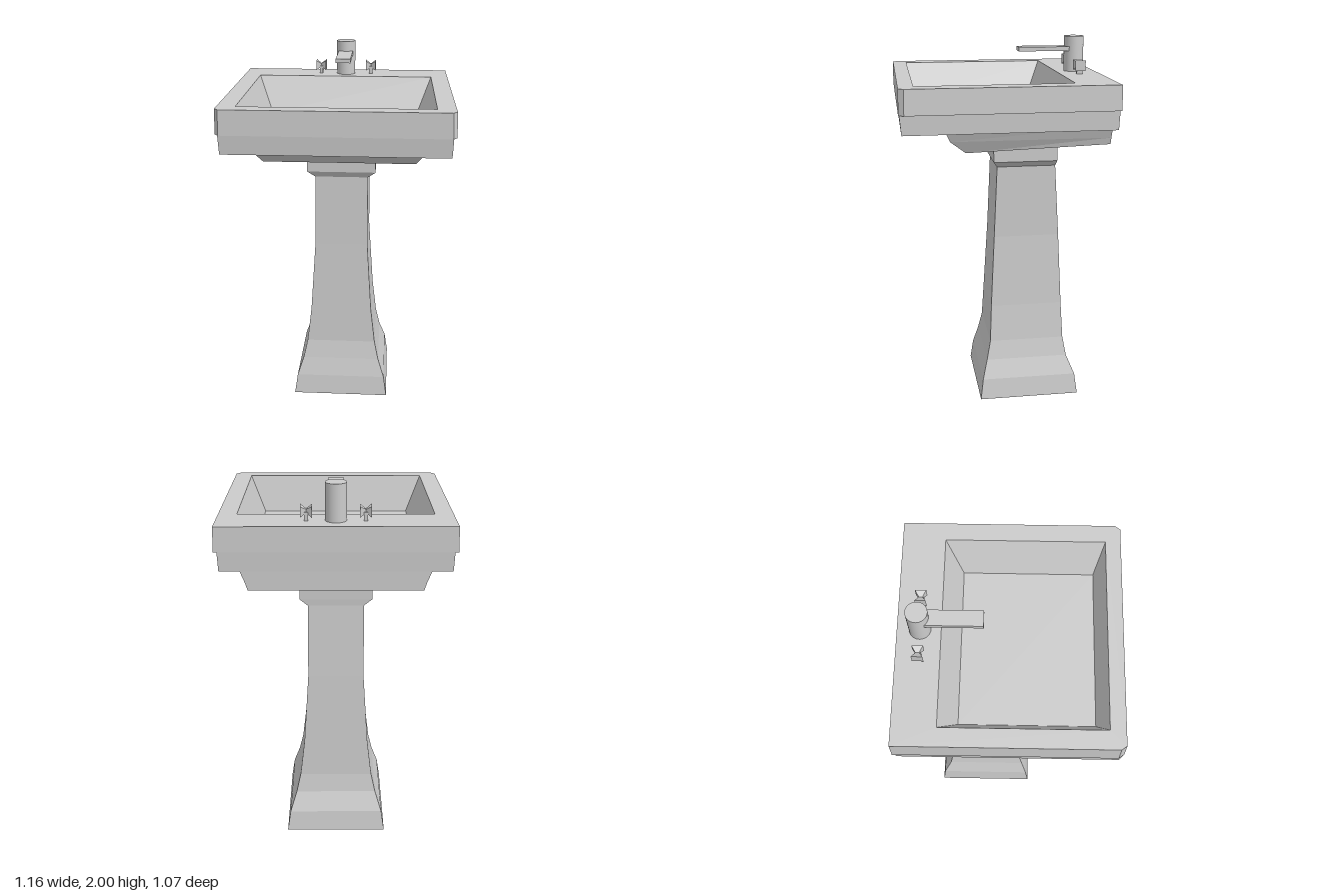
import * as THREE from 'three';

const material = new THREE.MeshStandardMaterial({ color: 0xcccccc, flatShading: true });
const smooth = new THREE.MeshStandardMaterial({ color: 0xcccccc });

// Rectangular ring, counterclockwise from above; the back edge may sit at its own height.
// Front corners are cut by (cx, cz).
function ring(y, hx, zFront, zBack, { cx = 0, cz = 0, yBack = y, hxBack = hx } = {}) {
  return [
    [hx - cx, y, zFront], [hx, y, zFront - cz], [hxBack, yBack, zBack],
    [-hxBack, yBack, zBack], [-hx, y, zFront - cz], [-hx + cx, y, zFront],
  ];
}

// Skin joining successive rings, closed at both ends.
function loft(name, rings) {
  const pos = [];
  const tri = (a, b, c) => {
    const [A, B, C] = [a, b, c].map((p) => new THREE.Vector3(...p));
    if (B.sub(A).cross(C.sub(A)).length() > 1e-8) pos.push(...a, ...b, ...c);
  };
  const n = rings[0].length;
  for (let r = 0; r < rings.length - 1; r++) {
    for (let i = 0; i < n; i++) {
      const j = (i + 1) % n, lo = rings[r], hi = rings[r + 1];
      tri(lo[i], lo[j], hi[j]);
      tri(lo[i], hi[j], hi[i]);
    }
  }
  const first = rings[0], last = rings[rings.length - 1];
  for (let i = 1; i < n - 1; i++) {
    tri(first[0], first[i + 1], first[i]);
    tri(last[0], last[i], last[i + 1]);
  }
  const geometry = new THREE.BufferGeometry();
  geometry.setAttribute('position', new THREE.Float32BufferAttribute(pos, 3));
  geometry.computeVertexNormals();
  const mesh = new THREE.Mesh(geometry, material);
  mesh.name = name;
  return mesh;
}

function part(name, geometry, x, y, z, mat = material) {
  const mesh = new THREE.Mesh(geometry, mat);
  mesh.name = name;
  mesh.position.set(x, y, z);
  return mesh;
}

export function createModel() {
  const model = new THREE.Group();
  model.name = 'pedestalSink';

  // Flared pedestal with a collar: y, half width, front z, back z
  model.add(loft('pedestal', [
    [0, 0.272, 0.12, -0.437], [0.115, 0.255, 0.105, -0.422], [0.22, 0.22, 0.078, -0.378],
    [0.325, 0.197, 0.056, -0.36], [0.53, 0.173, 0.047, -0.35], [0.93, 0.147, 0.027, -0.332],
    [1.325, 0.145, 0.011, -0.307], [1.36, 0.187, 0.035, -0.309], [1.45, 0.187, 0.035, -0.309],
  ].map((s) => ring(...s))));

  // Bowl underside, flush with the back of the basin
  model.add(loft('bowlUnderside', [
    ring(1.45, 0.187, 0.035, -0.309),
    ring(1.465, 0.4, 0.205, -0.53, { yBack: 1.495, hxBack: 0.425 }),
    ring(1.53, 0.432, 0.285, -0.53, { hxBack: 0.435 }),
    ring(1.595, 0.46, 0.315, -0.53),
  ]));

  // Stepped basin: outer wall, rim, sloped inner walls and floor
  const corner = { cx: 0.02, cz: 0.026 };
  model.add(loft('basin', [
    ring(1.593, 0.56, 0.525, -0.53),
    ring(1.69, 0.563, 0.533, -0.533),
    ring(1.69, 0.58, 0.537, -0.537, corner),
    ring(1.815, 0.575, 0.535, -0.535, corner),
    ring(1.815, 0.483, 0.46, -0.325),
    ring(1.62, 0.406, 0.415, -0.242),
  ]));

  // Faucet
  const faucet = new THREE.Group();
  faucet.name = 'faucet';
  const body = new THREE.CylinderGeometry(0.052, 0.052, 0.19, 32);
  faucet.add(part('faucetBody', body, 0, 1.905, -0.425, smooth));
  faucet.add(part('spout', new THREE.BoxGeometry(0.08, 0.022, 0.29), 0, 1.935, -0.265));
  model.add(faucet);

  // Bow-tie tap handles on short stems
  for (const [name, side] of [['leftHandle', 1], ['rightHandle', -1]]) {
    const handle = new THREE.Group();
    handle.name = name;
    const knob = loft('knob', [[-0.028, 0.027], [0, 0.009], [0.028, 0.027]]
      .map(([t, h]) => ring(t, h, h, -h)));
    knob.rotation.z = Math.PI / 2;
    knob.position.y = 1.86;
    handle.add(knob, part('stem', new THREE.BoxGeometry(0.018, 0.045, 0.03), 0, 1.834, 0));
    handle.position.set(side * 0.142, 0, -0.425);
    model.add(handle);
  }
  return model;
}
